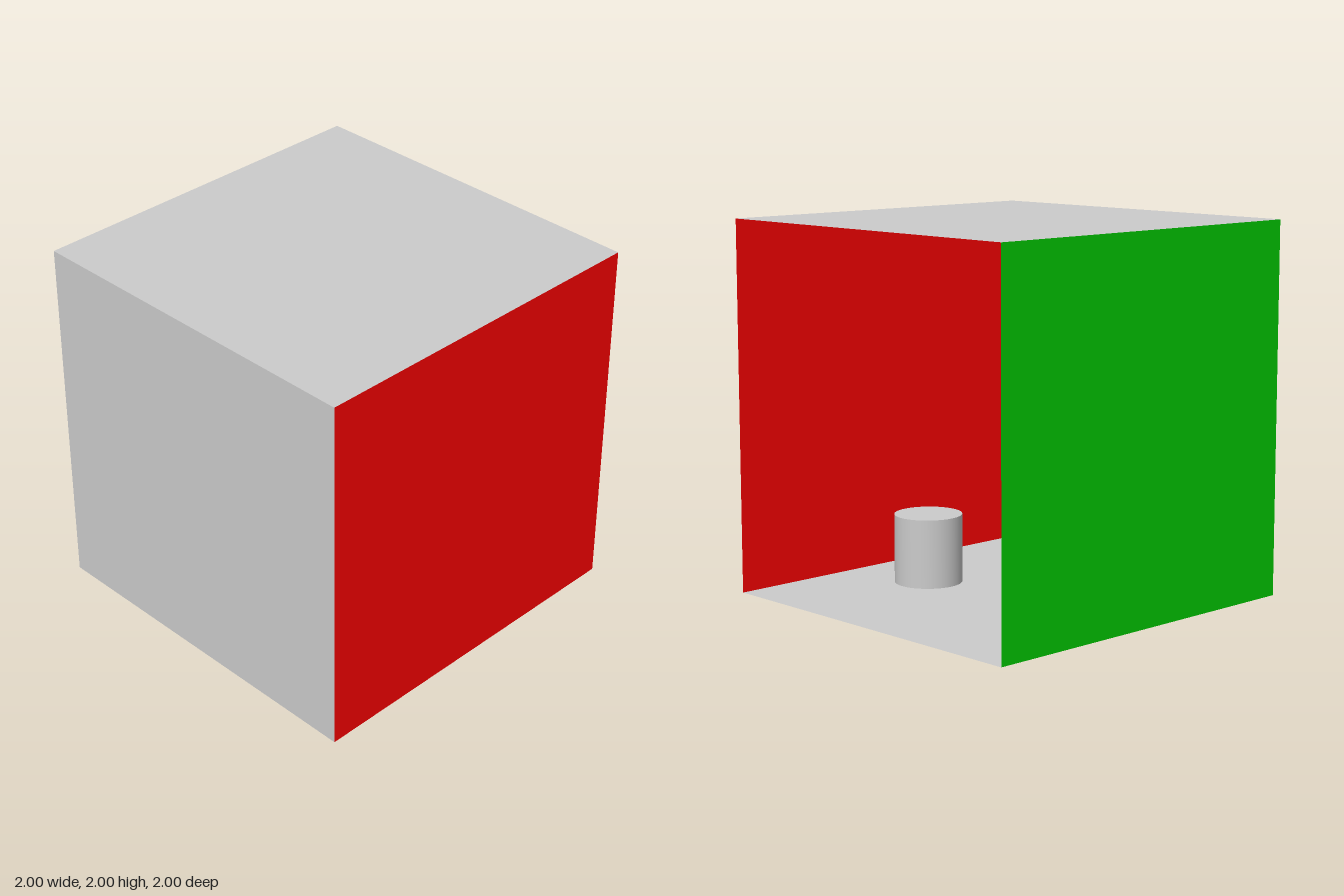
import * as THREE from 'three';

export function createModel() {
  const model = new THREE.Group();
  const material = (color) => new THREE.MeshStandardMaterial({ color, side: THREE.DoubleSide });
  const grey = material(0xcccccc);
  const red = material(0xff0000);
  const green = material(0x00cc00);

  function add(name, geometry, mat, position, rotation = [0, 0, 0]) {
    const mesh = new THREE.Mesh(geometry, mat);
    mesh.name = name;
    mesh.position.set(...position);
    mesh.rotation.set(...rotation);
    model.add(mesh);
  }

  // Room of thin panels, open on the +x side; all normals face inwards
  const quarter = Math.PI / 2;
  const panel = new THREE.PlaneGeometry(2, 2);
  add('floor', panel, grey, [0, 0, 0], [-quarter, 0, 0]);
  add('ceiling', panel, grey, [0, 2, 0], [quarter, 0, 0]);
  add('innerWall', panel, grey, [-1, 1, 0], [0, quarter, 0]);
  add('redWall', panel, red, [0, 1, 1], [0, Math.PI, 0]);
  add('greenWall', panel, green, [0, 1, -1]);

  // Square lamp panel just under the ceiling
  add('ceilingLight', new THREE.PlaneGeometry(1, 1), grey, [0, 1.99, 0], [quarter, 0, 0]);

  // Objects standing in the room
  function addBlock(name, width, bottom, top, x, z, turn) {
    const geometry = new THREE.BoxGeometry(width, top - bottom, width);
    add(name, geometry, grey, [x, (top + bottom) / 2, z], [0, turn, 0]);
  }
  addBlock('tallBlock', 0.45, 0.013, 1.255, -0.48, 0.12, -0.564);
  addBlock('shortBlock', 0.466, 0.01, 0.505, -0.25, -0.445, 0.618);
  add('cylinder', new THREE.CylinderGeometry(0.185, 0.185, 0.375, 48), grey, [0.12, 0.1925, 0.495]);

  return model;
}
